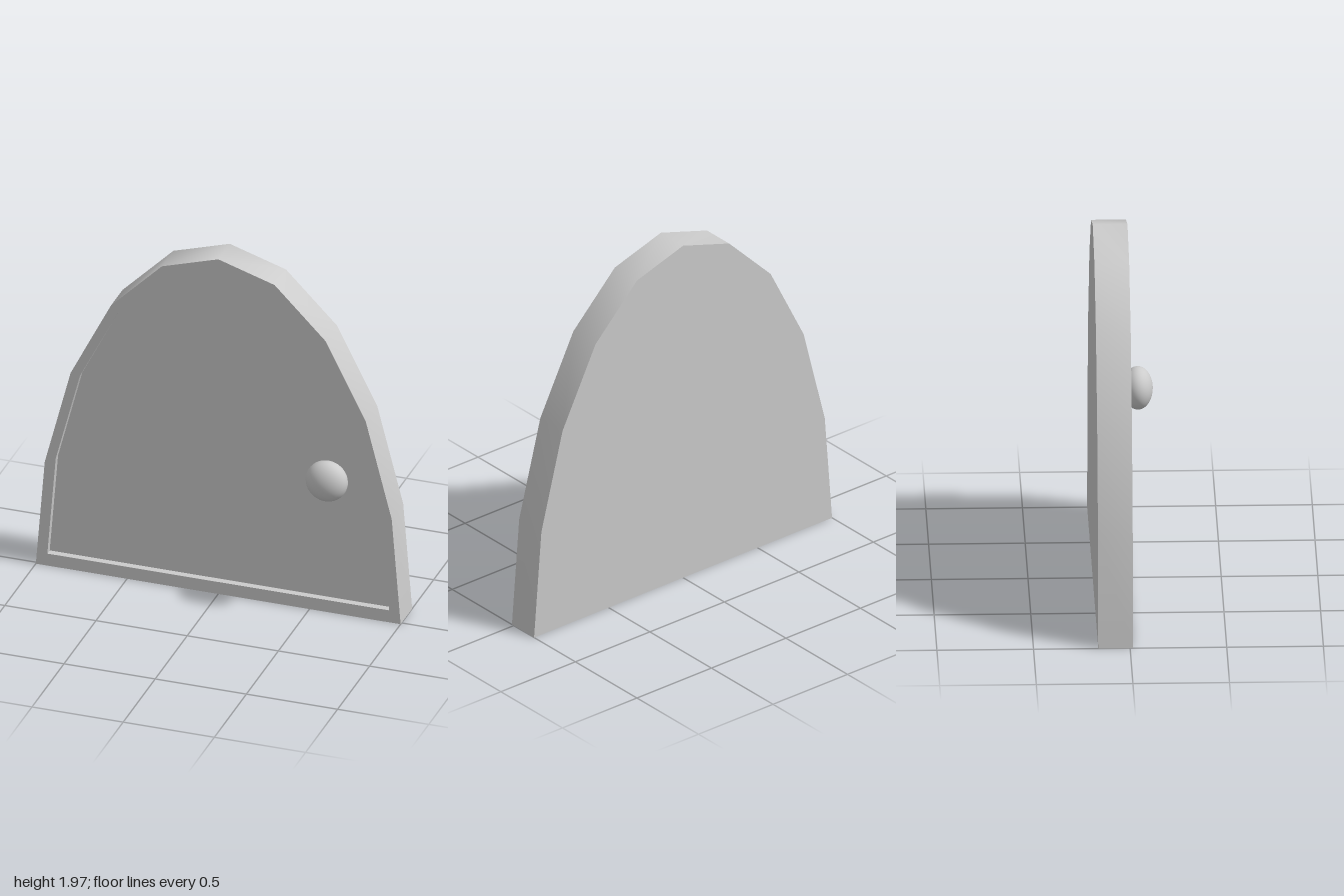
import * as THREE from 'three';

const FRONT = 0.015, FLOOR = -0.022, BACK = -0.165;

// Half-ellipse arch in ten segments, from the right foot over to the left foot
function arch(rx, ry, y0) {
  return Array.from({ length: 11 }, (_, i) => {
    const a = (i / 10) * Math.PI;
    return new THREE.Vector2(rx * Math.cos(a), y0 + ry * Math.sin(a));
  });
}

// Smooth strip along a path between two depths; inward turns it to face the middle
function strip(path, zFront, zBack, inward) {
  const pos = [], idx = [];
  path.forEach((p, i) => {
    pos.push(p.x, p.y, zFront, p.x, p.y, zBack);
    if (i === path.length - 1) return;
    const a = 2 * i, b = a + 1, c = a + 2, d = a + 3;
    if (inward) idx.push(a, c, b, b, c, d);
    else idx.push(a, b, c, b, d, c);
  });
  const g = new THREE.BufferGeometry();
  g.setAttribute('position', new THREE.Float32BufferAttribute(pos, 3));
  g.setIndex(idx);
  g.computeVertexNormals();
  return g;
}

export function createModel() {
  const group = new THREE.Group();
  const mat = new THREE.MeshStandardMaterial({ color: 0xcccccc, side: THREE.DoubleSide });
  const add = (name, geometry) => {
    const mesh = new THREE.Mesh(geometry, mat);
    mesh.name = name;
    group.add(mesh);
    return mesh;
  };

  const outer = arch(1, 1.965, 0);
  const inner = arch(0.937, 1.833, 0.07);

  // Shell: side wall (open underneath) and back
  add('sideWall', strip(outer, FRONT, BACK, false));
  const back = add('backPanel', new THREE.ShapeGeometry(new THREE.Shape(outer)));
  back.rotation.y = Math.PI;
  back.position.z = BACK;

  // Front border around the recess
  const border = new THREE.Shape(outer);
  border.holes.push(new THREE.Path(inner));
  add('frontFrame', new THREE.ShapeGeometry(border)).position.z = FRONT;

  // Recess: arched lip, sill and sunken panel
  add('recessLip', strip(inner, FRONT, FLOOR, true));
  add('recessSill', strip([inner[10], inner[0]], FRONT, FLOOR, true));
  add('doorPanel', new THREE.ShapeGeometry(new THREE.Shape(inner))).position.z = FLOOR;

  // Flattened round knob on a short neck
  const knob = add('knob', new THREE.SphereGeometry(1, 32, 20));
  knob.scale.set(0.113, 0.113, 0.078);
  knob.position.set(0.62, 0.81, 0.086);
  const neck = add('knobNeck', new THREE.CylinderGeometry(0.04, 0.04, 0.05, 16, 1, true));
  neck.rotation.x = Math.PI / 2;
  neck.position.set(0.62, 0.81, 0.003);

  return group;
}
